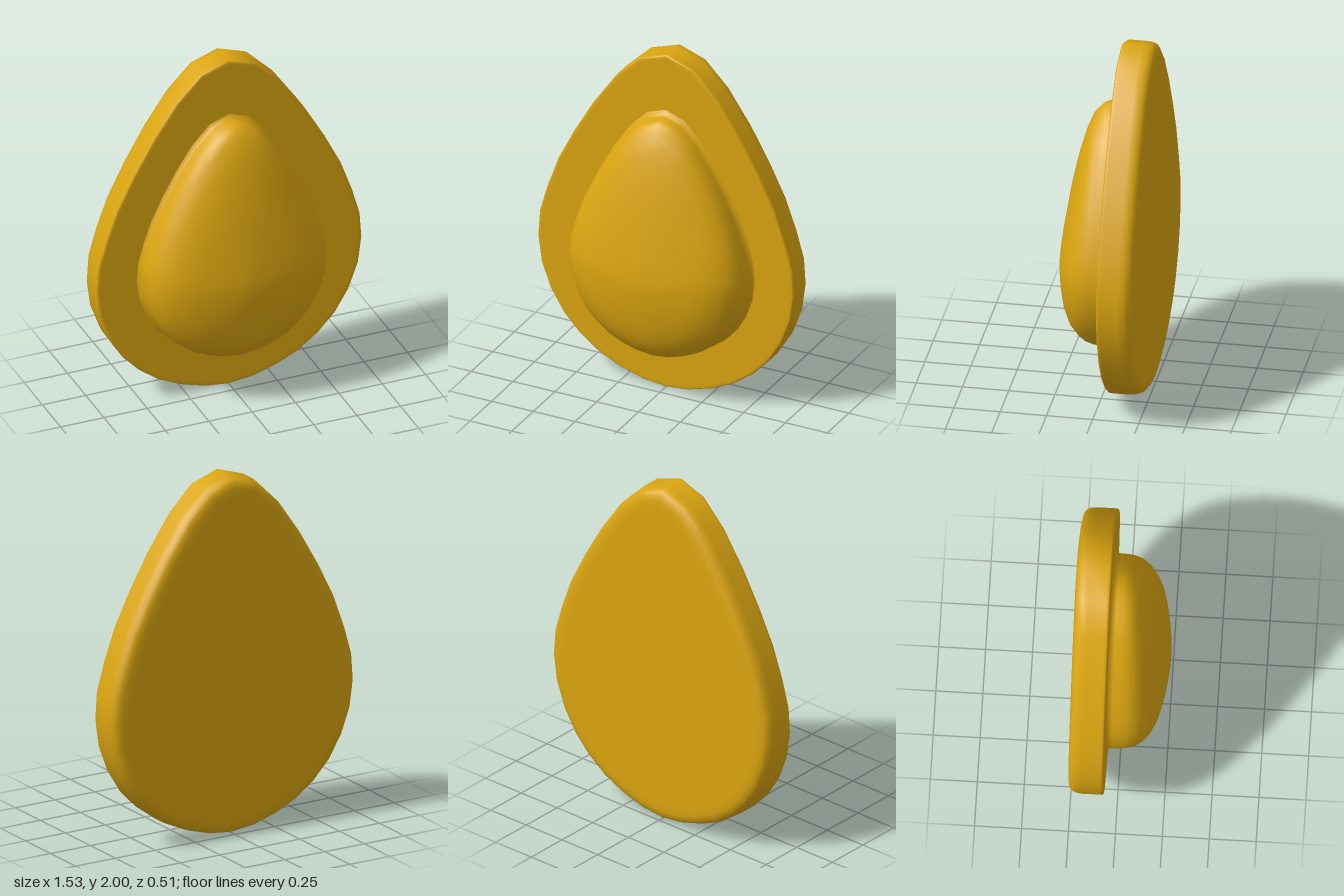
import * as THREE from 'three';
import { mergeVertices } from 'three/addons/utils/BufferGeometryUtils.js';

// Right half of the egg outline, bottom to top
const HALF = [
  [0, 0], [0.135, 0.015], [0.27, 0.055], [0.4, 0.115], [0.515, 0.2], [0.61, 0.3],
  [0.69, 0.43], [0.745, 0.58], [0.765, 0.73], [0.755, 0.88], [0.71, 1.04], [0.645, 1.22],
  [0.55, 1.41], [0.435, 1.61], [0.3, 1.805], [0.16, 1.945], [0, 2],
];
const OUTLINE = [...HALF, ...HALF.slice(1, -1).reverse().map(([x, y]) => [-x, y])];
const N = OUTLINE.length;
const CENTRE_Y = 0.73;

// Skin consecutive rings (ordered back to front) into a smooth surface
function loft(rings) {
  const index = [];
  for (let i = 0; i < rings.length - 1; i++) {
    for (let j = 0; j < N; j++) {
      const k = (j + 1) % N;
      const a = i * N + j, b = i * N + k, c = a + N, d = b + N;
      index.push(a, b, d, a, d, c);
    }
  }
  let geometry = new THREE.BufferGeometry();
  geometry.setAttribute('position', new THREE.Float32BufferAttribute(rings.flat(2), 3));
  geometry.setIndex(index);
  geometry = mergeVertices(geometry, 1e-5);
  geometry.computeVertexNormals();
  return geometry;
}

// Outline moved inwards along its normals
function insetRing(inset, z) {
  return OUTLINE.map(([x, y], j) => {
    const p = OUTLINE[(j + N - 1) % N], q = OUTLINE[(j + 1) % N];
    const tx = q[0] - p[0], ty = q[1] - p[1], l = Math.hypot(tx, ty);
    return [x - (ty / l) * inset, y + (tx / l) * inset, z];
  });
}

const centreRing = (z) => OUTLINE.map(() => [0, CENTRE_Y, z]);

// Dome contour: the upper part shrinks faster, so the tip slopes gently
function domeRing(s, z) {
  const up = s < 1 ? s * (0.5 + 0.5 * s ** 3) : s;
  return OUTLINE.map(([x, y]) => {
    const dy = (y - CENTRE_Y) * 0.7;
    return [x * 0.675 * s, 0.245 + CENTRE_Y * 0.7 + dy * (dy > 0 ? up : s), z];
  });
}

export function createModel() {
  const group = new THREE.Group();
  const material = new THREE.MeshStandardMaterial({ color: 0xdaa510 });

  // Backing plate: softly rounded back edge, crisp front edge
  const plate = new THREE.Mesh(loft([
    centreRing(-0.254),
    insetRing(0.1, -0.254),
    insetRing(0.06, -0.253),
    insetRing(0.032, -0.246),
    insetRing(0.014, -0.232),
    insetRing(0.004, -0.21),
    insetRing(0, -0.18),
    insetRing(0, -0.085),
    insetRing(0, -0.074),
    insetRing(0.003, -0.068),
    insetRing(0.009, -0.065),
    insetRing(0.025, -0.065),
    centreRing(-0.065),
  ]), material);
  plate.name = 'backingPlate';

  // Raised dome with a small flare where it meets the plate
  const profile = [
    [1.035, -0.068], [1.025, -0.061], [1.006, -0.052], [1, -0.035], [1, 0], [0.992, 0.04],
    [0.97, 0.08], [0.92, 0.12], [0.835, 0.16], [0.7, 0.195], [0.56, 0.216],
    [0.42, 0.232], [0.28, 0.243], [0.14, 0.251], [0, 0.254],
  ];
  const dome = new THREE.Mesh(loft(profile.map(([s, z]) => domeRing(s, z))), material);
  dome.name = 'raisedDome';

  group.add(plate, dome);
  return group;
}
